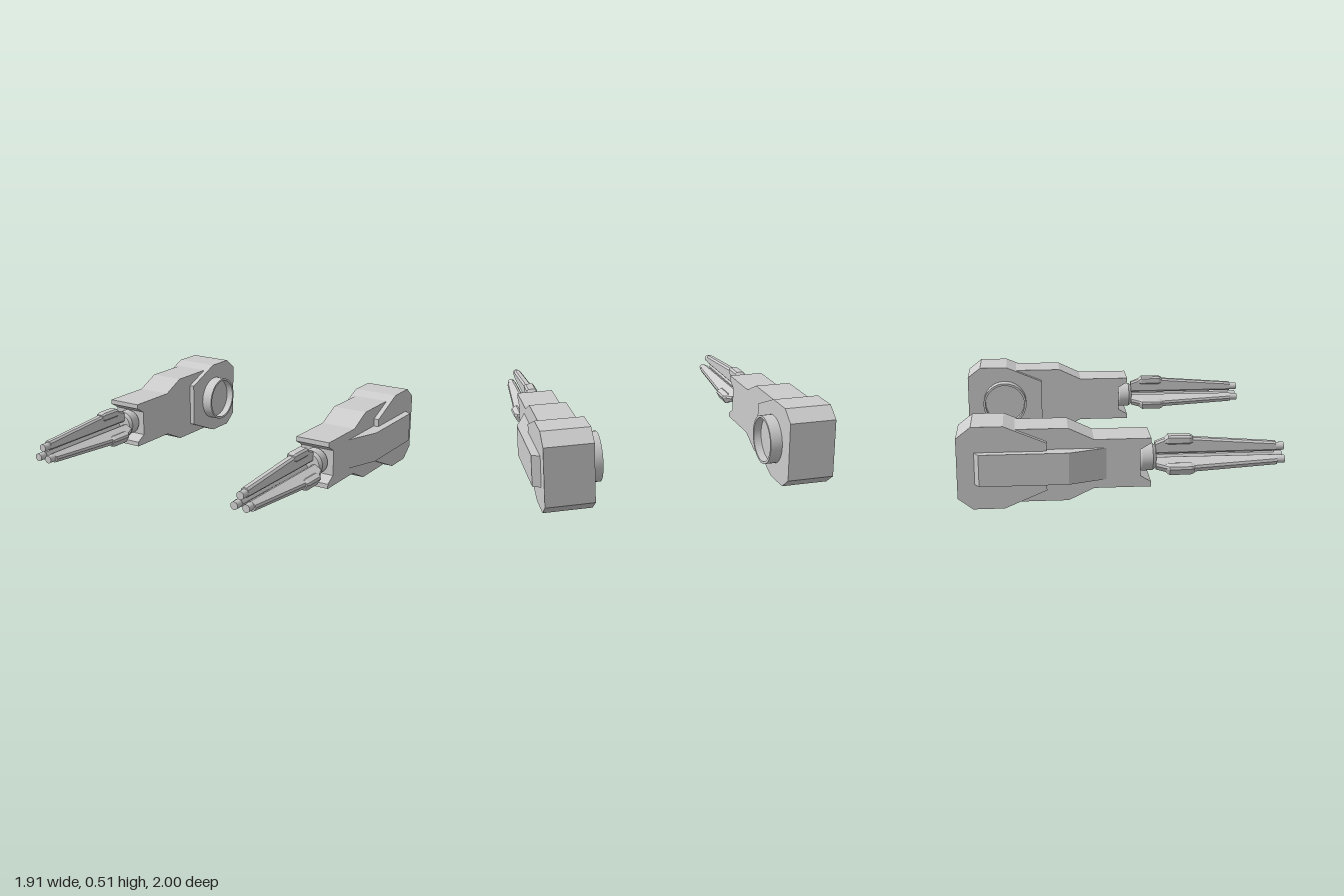
import * as THREE from 'three';
import { toCreasedNormals } from 'three/addons/utils/BufferGeometryUtils.js';

const material = new THREE.MeshStandardMaterial({ color: 0xcccccc });
const AXIS_X = 0.757, AXIS_Y = 0.256;

function part(name, geometry, x = 0, y = 0, z = 0) {
  const mesh = new THREE.Mesh(geometry, material);
  mesh.name = name;
  mesh.position.set(x, y, z);
  return mesh;
}

// Extrude an outline, centred on its depth.
function slab(points, depth) {
  const shape = new THREE.Shape(points.map(([a, b]) => new THREE.Vector2(a, b)));
  return new THREE.ExtrudeGeometry(shape, { depth, bevelEnabled: false }).translate(0, 0, -depth / 2);
}

// Side outline of [z, offset from axis] points, mirrored top to bottom and extruded across x.
function sideBlock(upper, width) {
  const lower = upper.map(([z, y]) => [z, -y]).reverse();
  return slab([...upper, ...lower], width).rotateY(-Math.PI / 2);
}

function turned(points) {
  const geometry = new THREE.LatheGeometry(points.map(([r, h]) => new THREE.Vector2(r, h)), 40);
  return toCreasedNormals(geometry, 0.5);
}

// Loft of chamfered rectangles; each station is [z, inner, outer, halfWidth, chamfer].
function chamferedLoft(stations) {
  const vertices = [], index = [], n = 8;
  for (const [z, lo, hi, w, c] of stations) {
    const ring = [[-w + c, lo], [w - c, lo], [w, lo + c], [w, hi - c],
      [w - c, hi], [-w + c, hi], [-w, hi - c], [-w, lo + c]];
    for (const [x, y] of ring) vertices.push(x, y, z);
  }
  const last = (stations.length - 1) * n;
  for (let s = 0; s < last; s += n) {
    for (let j = 0; j < n; j++) {
      const k = (j + 1) % n;
      index.push(s + j, s + k, s + n + k, s + j, s + n + k, s + n + j);
    }
  }
  for (let j = 1; j < n - 1; j++) {
    index.push(0, j + 1, j, last, last + j, last + j + 1);
  }
  const indexed = new THREE.BufferGeometry();
  indexed.setAttribute('position', new THREE.Float32BufferAttribute(vertices, 3));
  indexed.setIndex(index);
  const geometry = indexed.toNonIndexed();
  geometry.computeVertexNormals();
  return geometry;
}

function createFinger() {
  const finger = new THREE.Group();
  finger.name = 'finger';
  finger.add(part('fingerBody', chamferedLoft([
    [0.2, 0.02, 0.095, 0.027, 0.012],
    [0.265, 0.02, 0.12, 0.027, 0.012],
    [0.43, 0.02, 0.12, 0.027, 0.012],
    [0.95, 0.02, 0.08, 0.025, 0.012],
  ])));
  finger.add(part('knuckle', chamferedLoft([
    [0.258, 0.085, 0.115, 0.027, 0.008],
    [0.28, 0.078, 0.136, 0.035, 0.012],
    [0.41, 0.078, 0.136, 0.035, 0.012],
    [0.432, 0.085, 0.127, 0.027, 0.008],
  ])));
  const tip = new THREE.CylinderGeometry(0.025, 0.025, 0.07, 20).rotateX(Math.PI / 2);
  finger.add(part('fingerTip', tip, 0, 0.047, 0.965));
  return finger;
}

function createArm(side) {
  const arm = new THREE.Group();
  arm.name = side > 0 ? 'leftArm' : 'rightArm';
  const x = side * AXIS_X;

  // Forearm with a notched wrist, and the wider elbow housing behind it
  arm.add(part('forearm', sideBlock([
    [-0.7, 0.227], [-0.335, 0.227], [-0.18, 0.153], [0.165, 0.153], [0.165, 0.122], [0.1, 0.083],
  ], 0.235), x, AXIS_Y));
  arm.add(part('elbowHousing', sideBlock([
    [-1, 0.186], [-0.91, 0.256], [-0.72, 0.256], [-0.465, 0.148],
  ], 0.302), x, AXIS_Y));

  // Bevelled guard along the outer side
  const guard = [[0.87, -0.9], [0.905, -0.897], [0.957, -0.868], [0.957, -0.335], [0.872, -0.1], [0.85, -0.1]];
  arm.add(part('outerGuard',
    slab(guard.map(([a, b]) => [side * a, b]), 0.197).rotateX(Math.PI / 2), 0, AXIS_Y));

  // Recessed round socket on the inner side
  const socket = turned([[0.155, -0.01], [0.155, 0.075], [0.14, 0.075], [0.14, 0.025], [0, 0.025]]);
  arm.add(part('elbowSocket', socket.rotateZ(side * Math.PI / 2), side * 0.606, AXIS_Y, -0.735));

  // Wrist joint and three fingers around its axis
  const wrist = turned([[0, 0.09], [0.07, 0.09], [0.085, 0.115], [0.085, 0.182], [0.07, 0.202], [0, 0.202]]);
  arm.add(part('wristJoint', wrist.rotateX(Math.PI / 2), x, AXIS_Y));
  for (let i = 0; i < 3; i++) {
    const finger = createFinger();
    finger.position.set(x, AXIS_Y, 0);
    finger.rotation.z = i * Math.PI * 2 / 3;
    arm.add(finger);
  }
  return arm;
}

export function createModel() {
  const model = new THREE.Group();
  model.name = 'armPair';
  model.add(createArm(1), createArm(-1));
  return model;
}
